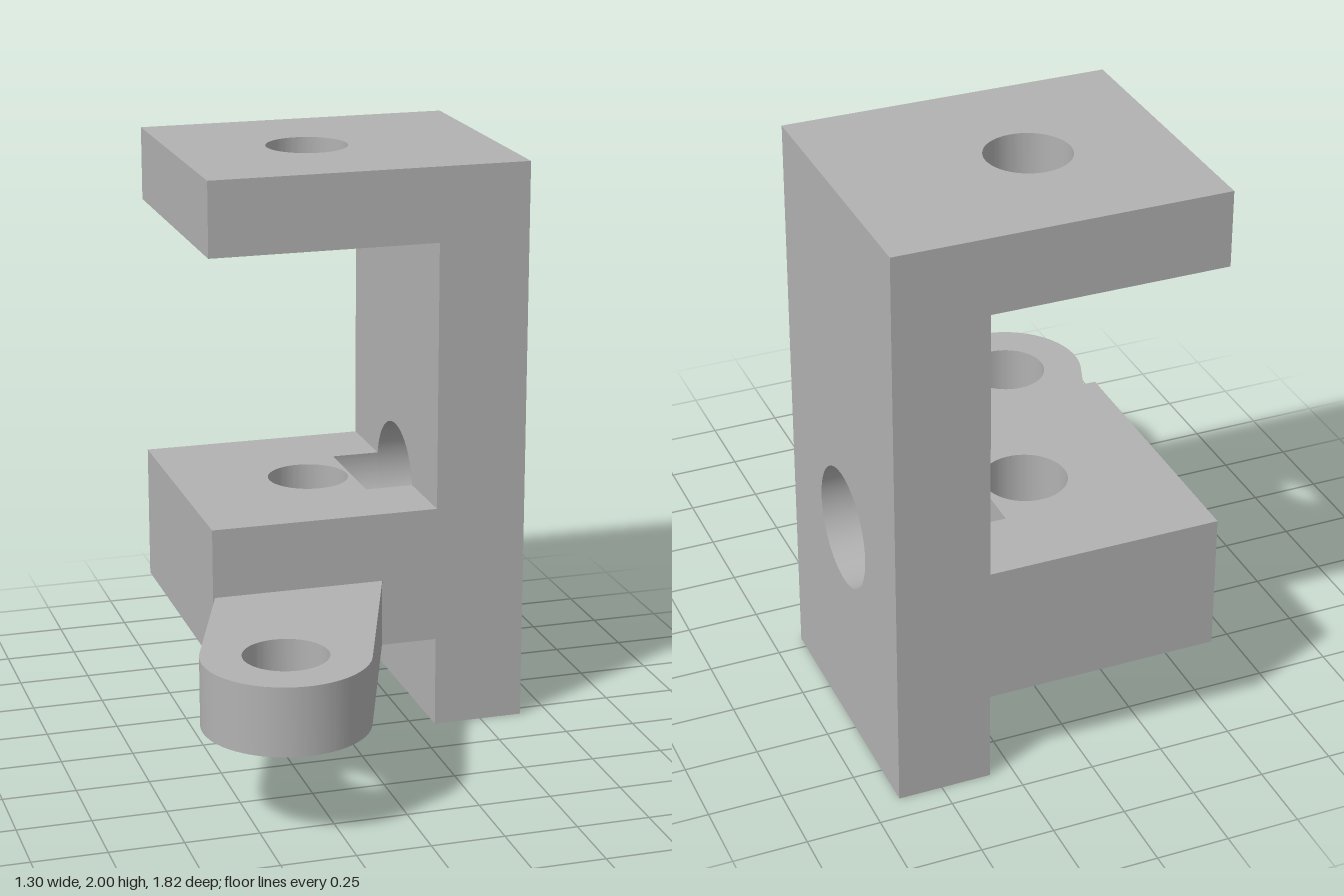
import * as THREE from 'three';
import { toCreasedNormals } from 'three/addons/utils/BufferGeometryUtils.js';

const BACK = 0.91, FRONT = -0.05;   // depth limits, as -z
const MID = 0.43;                   // -z of the bores
const BORE_Y = 0.765, BORE_R = 0.206, PIN_R = 0.143;

const material = new THREE.MeshStandardMaterial({ color: 0xb2b2b2 });
material.name = 'plain grey';

function polygon(points) {
  return new THREE.Shape(points.map(([x, y]) => new THREE.Vector2(x, y)));
}

function rectangle(x0, y0, x1, y1) {
  return polygon([[x0, y0], [x1, y0], [x1, y1], [x0, y1]]);
}

function drill(shape, x, y, r) {
  const hole = new THREE.Path();
  hole.absarc(x, y, r, 0, Math.PI * 2, true);
  shape.holes.push(hole);
  return shape;
}

function extrude(shape, depth) {
  return new THREE.ExtrudeGeometry(shape, { depth, bevelEnabled: false, curveSegments: 48 });
}

function part(name, geometry) {
  const mesh = new THREE.Mesh(toCreasedNormals(geometry, 0.5), material);
  mesh.name = name;
  return mesh;
}

// Plan outline (x, -z) raised from y0 to y1
function slab(name, shape, y0, y1) {
  return part(name, extrude(shape, y1 - y0).rotateX(-Math.PI / 2).translate(0, y0, 0));
}

// Side outline (-z, y) carried from x0 to x1
function sidewise(name, shape, x0, x1) {
  return part(name, extrude(shape, x1 - x0).rotateY(Math.PI / 2).translate(x0, 0, 0));
}

export function createModel() {
  const group = new THREE.Group();
  group.name = 'bracket';

  // Upright wall with its cross bore
  const wall = drill(rectangle(FRONT, 0, BACK, 2), MID, BORE_Y, BORE_R);
  group.add(sidewise('uprightWall', wall, 0.33, 0.65));

  // Upper plate and lower block with aligned pin holes
  const plate = drill(rectangle(-0.47, FRONT, 0.33, BACK), 0.005, MID, PIN_R);
  group.add(slab('upperPlate', plate, 1.74, 2));
  const block = drill(rectangle(-0.47, FRONT, 0.16, BACK), 0.005, MID, PIN_R);
  group.add(slab('lowerBlock', block, 0.32, 0.8));

  // Inner end of the lower block, grooved by the cross bore
  const a = Math.asin((0.8 - BORE_Y) / BORE_R);
  const groove = polygon([[FRONT, 0.8], [FRONT, 0.32], [BACK, 0.32], [BACK, 0.8]]);
  groove.absarc(MID, BORE_Y, BORE_R, a, Math.PI - a, true);
  group.add(sidewise('groovedBlockEnd', groove, 0.16, 0.33));

  // Slanted arm with a rounded, drilled end
  const arm = polygon([[0.133, FRONT], [-0.463, FRONT]]);
  arm.absarc(-0.375, -0.628, 0.28, Math.PI * 8 / 9, Math.PI * 17 / 9, false);
  drill(arm, -0.375, -0.628, PIN_R);
  group.add(slab('slantedArm', arm, 0.32, 0.557));

  return group;
}
